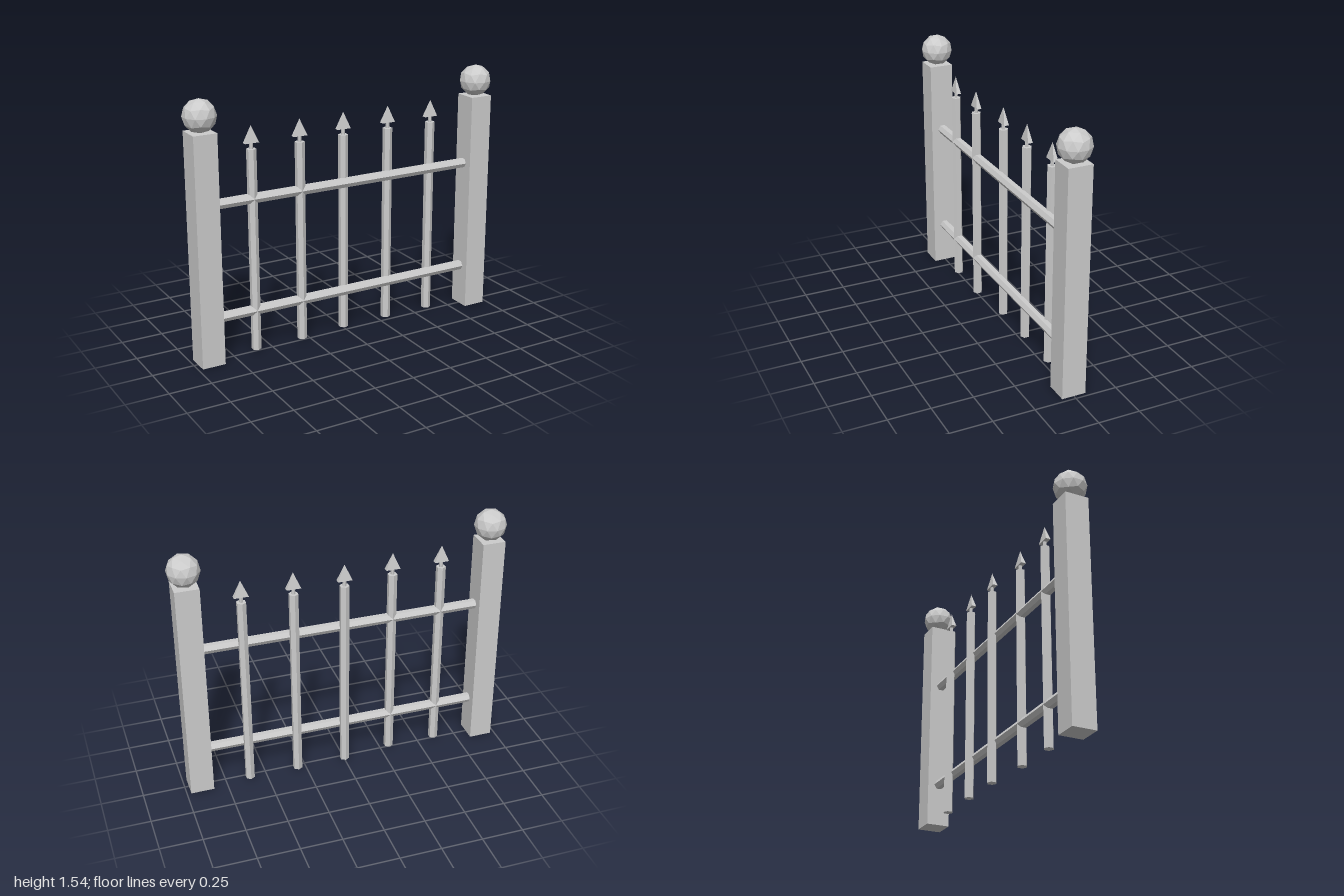
import * as THREE from 'three';

const material = new THREE.MeshStandardMaterial({ color: 0xcccccc, flatShading: true });

function addPart(parent, name, geometry, x, y, z) {
  const mesh = new THREE.Mesh(geometry, material);
  mesh.name = name;
  mesh.position.set(x, y, z);
  parent.add(mesh);
  return mesh;
}

export function createModel() {
  const group = new THREE.Group();
  group.name = 'fence';

  // Square end posts, each topped by a faceted ball
  const postHeight = 1.36;
  const postGeometry = new THREE.BoxGeometry(0.14, postHeight, 0.144);
  const ballGeometry = new THREE.IcosahedronGeometry(0.096, 1);
  ballGeometry.rotateZ(-Math.atan(2 / (1 + Math.sqrt(5)))); // a corner points straight up
  for (const side of [-1, 1]) {
    const name = side > 0 ? 'left' : 'right';
    addPart(group, name + 'Post', postGeometry, side * 0.905, postHeight / 2, 0);
    addPart(group, name + 'PostBall', ballGeometry, side * 0.905, 1.449, 0);
  }

  // Hexagonal rails between the posts, with an edge facing front
  const railGeometry = new THREE.CylinderGeometry(0.03, 0.03, 1.69, 6);
  railGeometry.rotateZ(Math.PI / 2);
  addPart(group, 'lowerRail', railGeometry, 0, 0.261, 0);
  addPart(group, 'upperRail', railGeometry, 0, 0.938, 0);

  // Pickets: hexagonal bar, thin neck and a flattened pyramid spearhead
  const barGeometry = new THREE.CylinderGeometry(0.029, 0.029, 1.21, 6);
  const neckGeometry = new THREE.CylinderGeometry(0.011, 0.011, 0.05, 6);
  const headGeometry = new THREE.ConeGeometry(Math.SQRT2, 0.1, 4);
  headGeometry.rotateY(Math.PI / 4);
  headGeometry.scale(0.043, 1, 0.015);

  // Two pickets run through the rails, three sit slightly behind and lower
  const pickets = [
    [-0.605, 0.016, 0], [-0.303, 0.016, 0],
    [0, 0.01, -0.035], [0.302, 0.01, -0.035], [0.603, 0.01, -0.035],
  ];
  for (const [x, y, z] of pickets) {
    const picket = new THREE.Group();
    picket.name = 'picket';
    picket.position.set(x, y, z);
    addPart(picket, 'bar', barGeometry, 0, 0.605, 0);
    addPart(picket, 'neck', neckGeometry, 0, 1.228, 0);
    addPart(picket, 'spearhead', headGeometry, 0, 1.294, 0);
    group.add(picket);
  }
  return group;
}
